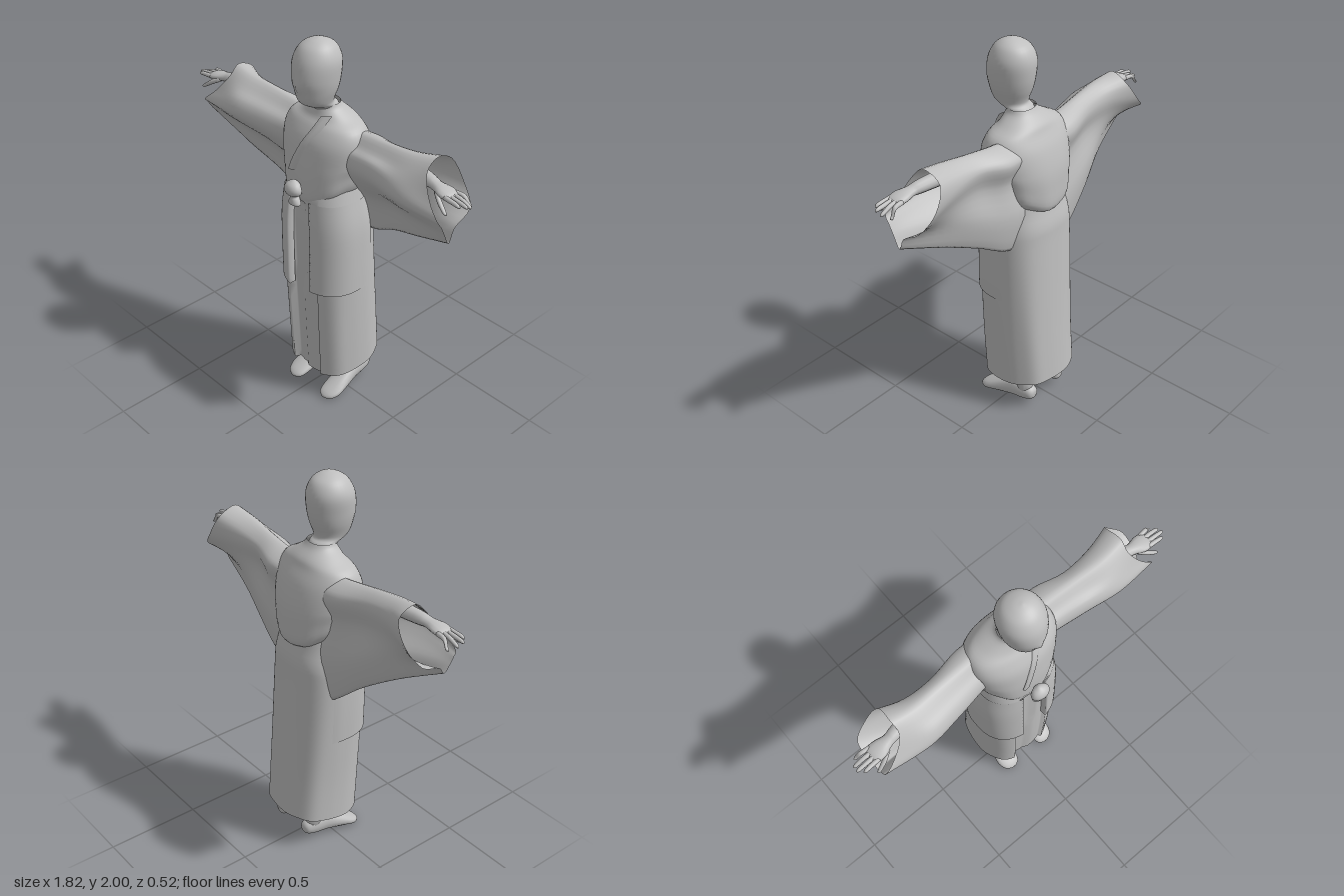
import * as THREE from 'three';

const cloth = new THREE.MeshStandardMaterial({ color: 0xbfbfbf, side: THREE.DoubleSide });
cloth.name = 'plain grey';

// Catmull-Rom interpolation of rows of numbers, n steps between neighbours
function smooth(rows, n) {
  const out = [];
  const at = i => rows[Math.min(Math.max(i, 0), rows.length - 1)];
  for (let i = 0; i < rows.length - 1; i++) {
    for (let k = 0; k < n; k++) {
      const t = k / n;
      out.push(rows[i].map((b, c) => {
        const a = at(i - 1)[c], d = at(i + 1)[c], e = at(i + 2)[c];
        return b + 0.5 * t * (d - a + t * (2 * a - 5 * b + 4 * d - e + t * (3 * (b - d) + e - a)));
      }));
    }
  }
  out.push(rows[rows.length - 1]);
  return out;
}

// Skin over rings of [x, y, z] points
function loft(name, rings, { closed = true, cap = false } = {}) {
  const n = rings[0].length, pos = rings.flat(2), index = [];
  for (let i = 0; i < rings.length - 1; i++) {
    for (let j = 0; j < (closed ? n : n - 1); j++) {
      const k = (j + 1) % n, a = i * n + j, b = i * n + k;
      index.push(a, b, b + n, a, b + n, a + n);
    }
  }
  if (cap) {
    for (const r of [0, rings.length - 1]) {
      const c = pos.length / 3;
      for (let q = 0; q < 3; q++) pos.push(rings[r].reduce((s, p) => s + p[q], 0) / n);
      for (let j = 0; j < n; j++) {
        const a = r * n + j, b = r * n + (j + 1) % n;
        index.push(...(r ? [a, b, c] : [b, a, c]));
      }
    }
  }
  const g = new THREE.BufferGeometry();
  g.setAttribute('position', new THREE.Float32BufferAttribute(pos, 3));
  g.setIndex(index);
  g.computeVertexNormals();
  const mesh = new THREE.Mesh(g, cloth);
  mesh.name = name;
  return mesh;
}

const bend = (v, p) => Math.sign(v) * Math.abs(v) ** p;

// Horizontal oval from a row [y, cx, rx, cz, rz]; point 0 is at the front
function oval([y, cx, rx, cz, rz], n, p = 1, rule = q => q) {
  return Array.from({ length: n }, (_, j) => {
    const a = j / n * Math.PI * 2;
    return rule([cx + rx * bend(Math.sin(a), p), y, cz + rz * bend(Math.cos(a), p)], a);
  });
}

// Limb along x, rows [x, y, z, ry, rz]
function limbX(name, rows) {
  return loft(name, smooth(rows, 3).map(([x, y, z, ry, rz]) => Array.from({ length: 12 }, (_, j) => {
    const a = j / 12 * Math.PI * 2;
    return [x, y + ry * Math.cos(a), z + rz * Math.sin(a)];
  })), { cap: true });
}

const TORSO = [
  [1.17, 0, 0.17, 0, 0.15], [1.2, 0, 0.205, -0.005, 0.19], [1.3, 0, 0.22, -0.005, 0.192],
  [1.4, 0, 0.235, -0.005, 0.183], [1.5, 0, 0.24, 0, 0.16], [1.57, 0, 0.215, 0, 0.125],
  [1.61, 0, 0.15, -0.005, 0.1], [1.65, 0.004, 0.09, 0.008, 0.073], [1.675, 0.005, 0.074, 0.015, 0.062],
];
const SKIRT = [
  [0.165, 0.01, 0.215, -0.045, 0.21], [0.4, 0.01, 0.218, -0.03, 0.207], [0.7, 0.005, 0.225, -0.015, 0.2],
  [1, 0, 0.228, -0.003, 0.193], [1.1, 0, 0.22, 0, 0.19], [1.2, 0, 0.2, 0.01, 0.175], [1.36, 0, 0.17, 0, 0.14],
];

// Sleeve rows: [x, topY, topZ, backZ, frontZ, foldY, bottomY, bottomZ, flare of the open end]
const SLEEVES = {
  1: [
    [0.12, 1.56, -0.02, -0.12, 0.07, 1.42, 1.0, -0.1, 0], [0.25, 1.57, -0.02, -0.13, 0.085, 1.42, 1.02, -0.09, 0],
    [0.4, 1.585, -0.01, -0.09, 0.11, 1.44, 1.1, -0.06, 0], [0.55, 1.605, 0, -0.1, 0.13, 1.43, 1.18, -0.01, 0.04],
    [0.68, 1.63, -0.01, -0.135, 0.11, 1.41, 1.265, 0.03, 0.13],
  ],
  '-1': [
    [0.12, 1.56, -0.02, -0.12, 0.07, 1.4, 0.9, -0.1, 0], [0.23, 1.57, -0.02, -0.12, 0.085, 1.41, 0.94, -0.09, 0],
    [0.4, 1.59, -0.01, -0.08, 0.12, 1.43, 1.08, -0.06, 0], [0.55, 1.605, 0, -0.08, 0.145, 1.44, 1.2, 0, 0.04],
    [0.67, 1.62, -0.01, -0.125, 0.11, 1.41, 1.325, 0.04, 0.15],
  ],
};

function sleeve(s) {
  const rings = smooth(SLEEVES[s], 5).map(([x, ty, tz, bz, fz, fy, by, lz, flare]) => {
    const drop = fy - by;
    const loop = [ // y, z around the hanging sleeve
      [ty, tz], [ty - 0.05, tz + (fz - tz) * 0.5], [fy + 0.07, fz * 0.85], [fy, fz], [fy - drop * 0.22, fz * 0.75 + lz * 0.25],
      [fy - drop * 0.55, lz + 0.035], [by, lz], [fy - drop * 0.55, lz - 0.03],
      [fy - drop * 0.1, bz * 0.75], [fy + 0.07, bz], [ty - 0.04, tz + (bz - tz) * 0.8],
    ].map(([y, z]) => [x + flare * THREE.MathUtils.smoothstep(1.56 - y, 0, 0.17), y, z]);
    const curve = new THREE.CatmullRomCurve3(loop.map(p => new THREE.Vector3(s * p[0], p[1], p[2])), true);
    return Array.from({ length: 44 }, (_, j) => curve.getPoint(j / 44).toArray());
  });
  return loft(s > 0 ? 'leftSleeve' : 'rightSleeve', rings);
}

function hand(s) {
  const g = new THREE.Group();
  g.name = s > 0 ? 'leftHand' : 'rightHand';
  const lift = s > 0 ? 0 : 0.015;
  g.add(limbX('forearm', [[0.45, 1.53, 0, 0.04, 0.04], [0.66, 1.53, 0.02, 0.032, 0.034], [0.72, 1.525, 0.03, 0.024, 0.03],
    [0.77, 1.52, 0.035, 0.022, 0.045], [0.81, 1.515, 0.035, 0.016, 0.045], [0.83, 1.512, 0.035, 0.006, 0.035]]));
  const fingers = [[0.885, 1.475, -0.012], [0.91, 1.49, 0.02], [0.912, 1.502, 0.048], [0.89, 1.505, 0.072]];
  fingers.forEach(([x, y, z], i) => {
    const z0 = 0.002 + i * 0.022;
    g.add(limbX('finger', [[0.8, 1.515, z0, 0.012, 0.012], [0.85, 1.512, (z0 + z) / 2, 0.011, 0.011],
      [x - 0.012, y + 0.004, z, 0.009, 0.009], [x, y, z, 0.003, 0.003]]));
  });
  g.add(limbX('thumb', [[0.74, 1.515, 0.055, 0.014, 0.014], [0.78, 1.495, 0.08, 0.014, 0.013],
    [0.825, 1.465, 0.095, 0.01, 0.01], [0.84, 1.458, 0.097, 0.003, 0.003]]));
  g.scale.x = s;
  g.position.y = lift;
  return g;
}

function foot(s) {
  const g = new THREE.Group();
  g.name = s > 0 ? 'leftFoot' : 'rightFoot';
  const x0 = s > 0 ? 0.13 : 0.09;
  const rows = [[-0.178, -0.005, 0.085, 0.015, 0.015], [-0.165, -0.004, 0.085, 0.033, 0.034], [-0.12, 0, 0.088, 0.042, 0.05],
    [-0.05, 0.003, 0.085, 0.047, 0.055], [0.03, 0.01, 0.06, 0.054, 0.042], [0.1, 0.015, 0.036, 0.059, 0.028],
    [0.145, 0.012, 0.021, 0.045, 0.017], [0.163, 0.01, 0.014, 0.015, 0.006]];
  g.add(loft('shoe', smooth(rows, 3).map(([z, cx, cy, rx, ry]) => Array.from({ length: 16 }, (_, j) => {
    const a = j / 16 * Math.PI * 2;
    return [s * (x0 + cx) + rx * Math.cos(a), cy + ry * bend(Math.sin(a), 0.8), z];
  })), { cap: true }));
  g.add(loft('leg', [[0.09, s * x0, 0.04, -0.115, 0.046], [0.16, s * x0, 0.042, -0.11, 0.046], [0.5, s * x0, 0.06, -0.06, 0.06]]
    .map(r => oval(r, 16)), { cap: true }));
  return g;
}

// Open front panel of the coat, wrapped round the skirt from the front edge to the side
function coatPanel(s) {
  const hem = s > 0 ? 0.69 : 0.665;
  const rings = smooth([[hem, 0.005, 0.23, -0.002, 0.204], [0.85, 0.002, 0.233, 0, 0.2],
    [1.05, 0, 0.23, 0.002, 0.195], [1.2, 0, 0.205, 0.01, 0.178]], 4).map(([y, cx, rx, cz, rz]) =>
    Array.from({ length: 24 }, (_, j) => {
      const a = 0.24 + Math.max(j - 1, 0) / 22 * 1.7, k = j === 0 ? 0.82 : j > 20 ? 0.97 : 1;
      return [cx + s * rx * bend(Math.sin(a), 0.8), y, cz + k * rz * bend(Math.cos(a), 0.8)];
    }));
  return loft(s > 0 ? 'leftCoatPanel' : 'rightCoatPanel', rings, { closed: false });
}

export function createModel() {
  const model = new THREE.Group();
  model.name = 'robedFigure';

  // Head and neck, with a slight nose ridge
  const head = [[1.55, 0, 0.075, 0, 0.065], [1.655, 0.004, 0.07, 0.02, 0.064], [1.685, 0.006, 0.072, 0.064, 0.08],
    [1.71, 0.007, 0.08, 0.078, 0.094], [1.76, 0.007, 0.097, 0.076, 0.11], [1.82, 0.007, 0.108, 0.075, 0.122],
    [1.9, 0.006, 0.112, 0.068, 0.118], [1.96, 0.008, 0.086, 0.065, 0.09], [1.99, 0.012, 0.046, 0.067, 0.045],
    [2, 0.014, 0.006, 0.068, 0.006]];
  model.add(loft('head', smooth(head, 4).map(r => oval(r, 32, 1, ([x, y, z]) => {
    const nose = z > 0.1 ? Math.exp(-(((x - 0.007) / 0.018) ** 2) - ((y - 1.79) / 0.03) ** 2) : 0;
    return [x, y, z + 0.012 * nose];
  })), { cap: true }));

  // Loose upper robe whose hem rises toward the sides
  model.add(loft('upperRobe', smooth(TORSO, 4).map(r => oval(r, 48, 0.9, ([x, y, z], a) => {
    const low = THREE.MathUtils.clamp((1.4 - y) / 0.2, 0, 1);
    const fold = 1 + 0.012 * low * Math.sin(9 * a);
    return [x * fold, y + 2.2 * x * x * low, z * fold];
  }))));

  // Overlapping collar edge running down the chest
  const edge = smooth([[0.06, 1.63, 0.084], [0.04, 1.57, 0.128], [0.005, 1.5, 0.164], [-0.035, 1.41, 0.184], [-0.06, 1.34, 0.19]], 4);
  model.add(loft('collarFold', edge.map(([x, y, z]) => [[x - 0.012, y, z - 0.006], [x - 0.008, y, z + 0.004],
    [x + 0.02, y + 0.005, z + 0.002], [x + 0.045, y + 0.01, z - 0.016]]), { closed: false }));

  // Long skirt with a recessed, overlapping centre strip and a sloping hem
  model.add(loft('skirt', smooth(SKIRT, 4).map(r => oval(r, 96, 0.8, ([x, y, z], a) => {
    const fall = THREE.MathUtils.clamp((1.2 - y) / 0.8, 0, 1);
    const hem = THREE.MathUtils.clamp((0.5 - y) / 0.33, 0, 1);
    const fold = 1 + 0.01 * fall * Math.sin(8 * a + 0.6);
    const recess = z > 0 && Math.abs(x - 0.01) < 0.095 && y < 1.19 ? (x > 0.005 ? 0.02 : 0.032) : 0;
    return [x * fold, y - 0.14 * z * hem, z * fold - recess];
  }))));

  for (const s of [1, -1]) model.add(coatPanel(s), sleeve(s), hand(s), foot(s));

  // Tied knot at the waist: puffed top, narrow neck, flared tail
  const knot = [[1.18, 0, 0.028, 0.21, 0.02], [1.19, 0, 0.036, 0.215, 0.026], [1.215, 0, 0.025, 0.215, 0.024],
    [1.23, 0, 0.018, 0.215, 0.022], [1.25, 0, 0.045, 0.222, 0.034], [1.275, 0, 0.05, 0.226, 0.035],
    [1.3, 0, 0.036, 0.222, 0.028], [1.316, 0, 0.008, 0.218, 0.008]];
  model.add(loft('waistKnot', smooth(knot, 3).map(r => oval(r, 20)), { cap: true }));
  return model;
}
